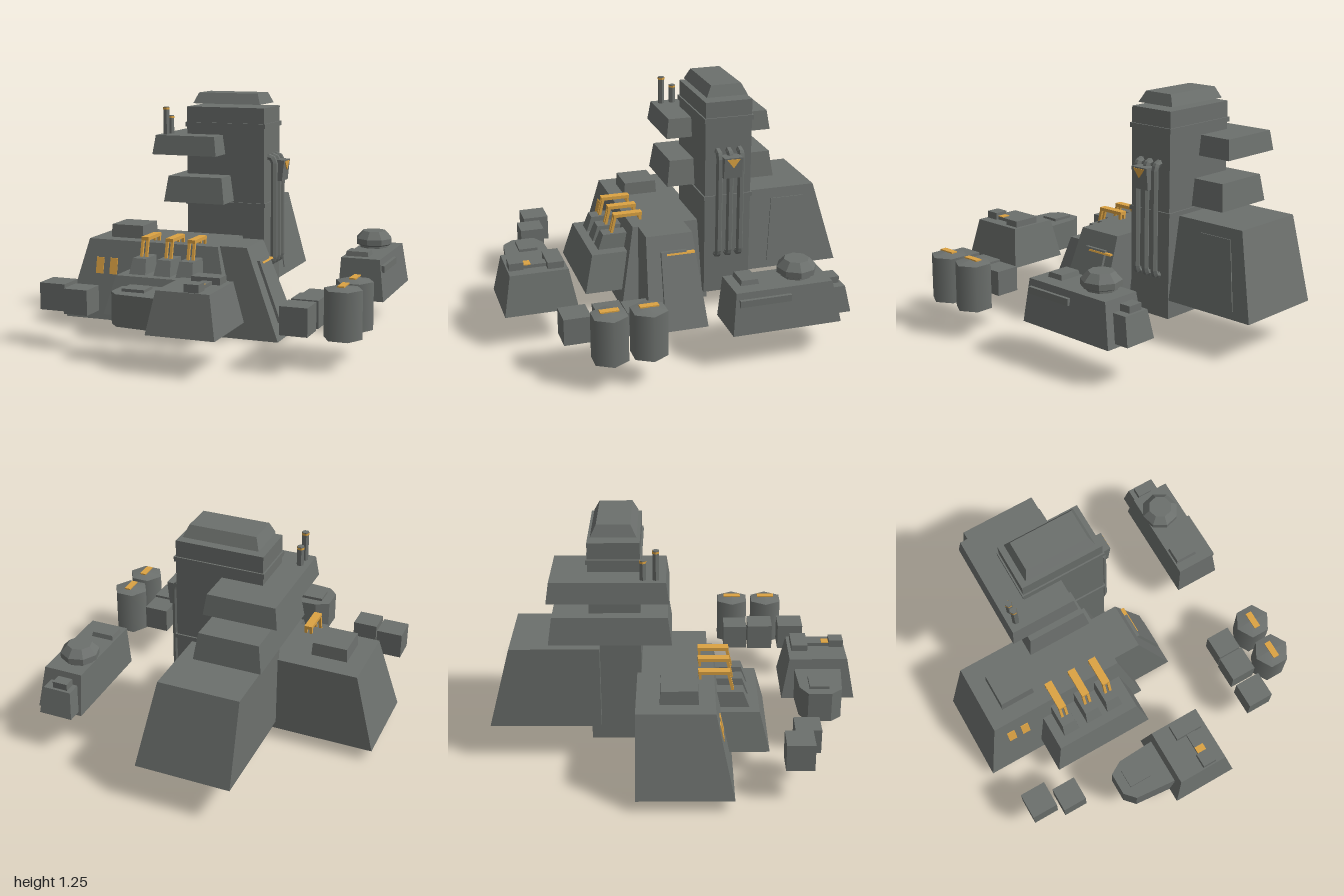
import * as THREE from 'three';

// Hulls are open shells, so both sides show
const grey = new THREE.MeshStandardMaterial({ color: 0x6c706d, side: THREE.DoubleSide });
grey.name = 'hull grey';
const amber = new THREE.MeshStandardMaterial({ color: 0xdba243, side: THREE.DoubleSide });
amber.name = 'amber marking';

function flat(geometry) {
  const g = geometry.index ? geometry.toNonIndexed() : geometry;
  g.computeVertexNormals();
  return g;
}

function add(parent, name, geometry, material = grey) {
  const mesh = new THREE.Mesh(geometry, material);
  mesh.name = name;
  parent.add(mesh);
  return mesh;
}

// Tapered block: base and top are [x0, x1, z0, z1]; the underside is open unless floor is set
function block(parent, name, base, y0, y1, { top = base, material = grey, floor = false } = {}) {
  const g = new THREE.BoxGeometry(1, 1, 1);
  const p = g.attributes.position;
  for (let i = 0; i < p.count; i++) {
    const up = p.getY(i) > 0;
    const r = up ? top : base;
    p.setXYZ(i, p.getX(i) < 0 ? r[0] : r[1], up ? y1 : y0, p.getZ(i) < 0 ? r[2] : r[3]);
  }
  if (!floor) g.setIndex([...g.index.array].filter((_, i) => i < 18 || i >= 24));
  return add(parent, name, flat(g), material);
}

// Shrinks (or grows, if negative) a rectangle on all sides
const inset = ([a, b, c, d], s) => [a + s, b - s, c + s, d - s];
const rect = (x, z, w, d = w) => [x - w / 2, x + w / 2, z - d / 2, z + d / 2];

// Faceted round part from [radius, y] pairs
function turned(parent, name, profile, sides, x, z, material = grey) {
  const pts = profile.map(([r, y]) => new THREE.Vector2(r, y));
  const mesh = add(parent, name, flat(new THREE.LatheGeometry(pts, sides)), material);
  mesh.position.set(x, 0, z);
  return mesh;
}

// Square bar between two points
function bar(parent, name, from, to, size, material) {
  const a = new THREE.Vector3(...from), b = new THREE.Vector3(...to);
  const mesh = add(parent, name, new THREE.BoxGeometry(size, a.distanceTo(b), size), material);
  mesh.position.copy(a).lerp(b, 0.5);
  mesh.quaternion.setFromUnitVectors(new THREE.Vector3(0, 1, 0), b.sub(a).normalize());
  return mesh;
}

function buildTower(site) {
  const tower = new THREE.Group();
  tower.name = 'tower';
  site.add(tower);
  const plan = [0.194, 0.45, -0.42, 0.03];
  block(tower, 'towerShaft', plan, 0.1, 1.18);
  block(tower, 'upperBand', inset(plan, -0.008), 1.07, 1.095, { floor: true });
  block(tower, 'lowerBand', inset(plan, -0.008), 0.64, 0.662, { floor: true });
  block(tower, 'towerCap', rect(0.322, -0.195, 0.225, 0.39), 1.197, 1.255,
    { top: rect(0.322, -0.195, 0.166, 0.343), floor: true });

  // Overhanging storeys wrapped round the rear
  const upper = [0.052, 0.643, -0.567, -0.195], lower = [0.04, 0.65, -0.495, -0.145];
  block(tower, 'upperGallery', upper, 0.925, 1.03, { top: inset(upper, 0.015), floor: true });
  block(tower, 'lowerGallery', lower, 0.67, 0.81, { top: inset(lower, 0.02), floor: true });

  // Aerials with an amber ring below the tip
  for (const [x, z, h] of [[0.116, -0.51, 1.18], [0.178, -0.509, 1.13]]) {
    turned(tower, 'aerial', [[0.018, 1.02], [0.018, h], [0, h]], 6, x, z);
    turned(tower, 'aerialRing', [[0.0195, h - 0.014], [0.0195, h - 0.003]], 6, x, z, amber);
  }

  // Front pipes with bent ends and their control box
  for (const x of [0.262, 0.322, 0.382]) {
    const path = new THREE.CurvePath();
    const pts = [[0.02, 0.912], [0.05, 0.91], [0.065, 0.885], [0.065, 0.35], [0.05, 0.327], [0.02, 0.325]]
      .map(([z, y]) => new THREE.Vector3(x, y, z));
    for (let i = 1; i < pts.length; i++) path.add(new THREE.LineCurve3(pts[i - 1], pts[i]));
    add(tower, 'pipe', flat(new THREE.TubeGeometry(path, 40, 0.019, 6)));
  }
  block(tower, 'controlBox', [0.272, 0.372, 0.05, 0.105], 0.78, 0.895, { top: [0.272, 0.372, 0.05, 0.118], floor: true });
  const tri = new THREE.Shape([[-0.037, 0.022], [0, -0.026], [0.037, 0.022]].map(p => new THREE.Vector2(...p)));
  const sign = add(tower, 'warningTriangle', new THREE.ExtrudeGeometry(tri, { depth: 0.006, bevelEnabled: false }), amber);
  sign.position.set(0.322, 0.866, 0.114);
}

function buildBase(site) {
  // Large wing on the left of the tower, with a raised front panel
  block(site, 'sideWing', [0.4, 0.965, -0.47, 0.027], 0.2, 0.635, { top: [0.4, 0.85, -0.47, -0.05] });
  block(site, 'wingPanel', [0.56, 0.86, -0.04, 0.026], 0.24, 0.58, { top: [0.6, 0.79, -0.08, -0.035] });
  // Long hall with its roof hatch
  block(site, 'longHall', [-0.263, 0.219, -0.945, 0.008], 0.06, 0.48, { top: [-0.17, 0.215, -0.842, -0.095] });
  block(site, 'roofHatch', [-0.09, 0.1, -0.752, -0.56], 0.47, 0.55, { top: [-0.085, 0.095, -0.747, -0.565] });
  for (const z of [-0.766, -0.685]) {
    block(site, 'wallMarking', [-0.214, -0.206, z - 0.022, z + 0.022], 0.3, 0.385,
      { top: [-0.195, -0.187, z - 0.022, z + 0.022], material: amber });
  }
  // Front entrance
  block(site, 'entrance', [-0.176, 0.152, -0.1, 0.24], 0, 0.48, { top: [-0.14, 0.116, -0.1, 0.055] });
  block(site, 'entranceDoor', [-0.085, 0.085, 0.1, 0.226], 0.08, 0.4, { top: [-0.07, 0.07, 0.05, 0.102] });
  block(site, 'doorStrip', [-0.04, 0.115, 0.085, 0.112], 0.382, 0.391, { top: [-0.04, 0.115, 0.085, 0.108], material: amber });

  // Stepped annex with amber frames
  block(site, 'annex', [-0.447, -0.18, -0.625, -0.055], 0.14, 0.34, { top: [-0.395, -0.18, -0.575, -0.105] });
  for (const z of [-0.475, -0.335, -0.21]) {
    block(site, 'annexStep', [-0.35, -0.15, z - 0.05, z + 0.045], 0.33, 0.42, { top: [-0.315, -0.15, z - 0.04, z + 0.035] });
    for (const s of [-0.014, 0.014]) {
      bar(site, 'frameLeg', [-0.265, 0.41, z + s], [-0.24, 0.512, z + s], 0.014, amber);
      bar(site, 'frameFoot', [-0.1, 0.47, z + s], [-0.1, 0.512, z + s], 0.014, amber);
    }
    block(site, 'frameRail', [-0.25, -0.09, z - 0.021, z + 0.021], 0.505, 0.523, { material: amber, floor: true });
  }
}

function buildVehicles(site) {
  // Squat utility unit
  const hauler = new THREE.Group();
  hauler.name = 'hauler';
  site.add(hauler);
  const body = [-0.925, -0.54, -0.163, 0.19];
  block(hauler, 'haulerBody', body, 0.19, 0.4, { top: inset(body, 0.04) });
  const cab = new THREE.Shape([[-0.85, 0.14], [-0.605, 0.14], [-0.615, 0.34], [-0.655, 0.41], [-0.775, 0.41], [-0.83, 0.36]]
    .map(p => new THREE.Vector2(...p)));
  const cabMesh = add(hauler, 'haulerCab', new THREE.ExtrudeGeometry(cab, { depth: 0.16, bevelEnabled: false }));
  cabMesh.rotation.x = -Math.PI / 2;
  cabMesh.position.y = 0.19;
  block(hauler, 'cabHatch', rect(-0.715, -0.3, 0.1, 0.12), 0.34, 0.365);
  block(hauler, 'roofBox', rect(-0.84, 0.055, 0.075), 0.39, 0.44);
  block(hauler, 'roofLocker', rect(-0.64, 0.047, 0.085, 0.15), 0.39, 0.435);
  block(hauler, 'roofDuct', rect(-0.74, 0.055, 0.15, 0.05), 0.39, 0.418);
  block(hauler, 'ductMarking', rect(-0.782, 0.055, 0.038, 0.05), 0.417, 0.422, { material: amber });

  // Long carrier with a domed turret
  const carrier = new THREE.Group();
  carrier.name = 'carrier';
  site.add(carrier);
  block(carrier, 'carrierBody', [0.115, 0.69, 0.474, 0.722], 0.19, 0.41, { top: [0.135, 0.645, 0.485, 0.695] });
  block(carrier, 'carrierCab', [0.64, 0.765, 0.49, 0.672], 0.21, 0.35, { top: [0.62, 0.735, 0.505, 0.655] });
  block(carrier, 'cabPod', rect(0.69, 0.57, 0.06, 0.08), 0.33, 0.385);
  block(carrier, 'carrierHatch', rect(0.233, 0.557, 0.1, 0.13), 0.4, 0.435, { top: rect(0.233, 0.557, 0.085, 0.115) });
  block(carrier, 'sidePanel', [0.15, 0.42, 0.66, 0.717], 0.34, 0.375, { floor: true });
  const turret = turned(carrier, 'turret',
    [[0, 0.39], [0.08, 0.39], [0.08, 0.42], [0.102, 0.43], [0.102, 0.46], [0.065, 0.5], [0, 0.5]], 8, 0.499, 0.569);
  turret.rotation.y = Math.PI / 8 - Math.PI / 6;
}

function buildStores(site) {
  // Crates: x, z, size
  for (const [x, z, s] of [[-0.576, -0.81, 0.14], [-0.626, -0.655, 0.13], [-0.633, 0.496, 0.14], [-0.46, 0.497, 0.138], [-0.318, 0.498, 0.13]]) {
    block(site, 'crate', rect(x, z, s), 0.19, 0.19 + s);
  }
  // Softly shaded six-sided drums with an amber grip on the lid
  for (const [x, z] of [[-0.504, 0.681], [-0.308, 0.683]]) {
    const drum = new THREE.Group();
    drum.name = 'drum';
    drum.position.set(x, 0, z);
    site.add(drum);
    add(drum, 'drumWall', new THREE.CylinderGeometry(0.096, 0.096, 0.24, 6, 1, true)).position.y = 0.27;
    add(drum, 'drumLid', new THREE.ConeGeometry(0.096, 0.02, 6, 1, true)).position.y = 0.4;
    block(drum, 'drumGrip', rect(0, 0, 0.095, 0.034), 0.405, 0.412, { material: amber });
  }
}

export function createModel() {
  const model = new THREE.Group();
  model.name = 'outpost';
  const site = new THREE.Group();
  site.name = 'site';
  site.rotation.y = Math.PI / 6; // the whole site stands at an angle
  model.add(site);
  buildTower(site);
  buildBase(site);
  buildVehicles(site);
  buildStores(site);
  return model;
}
